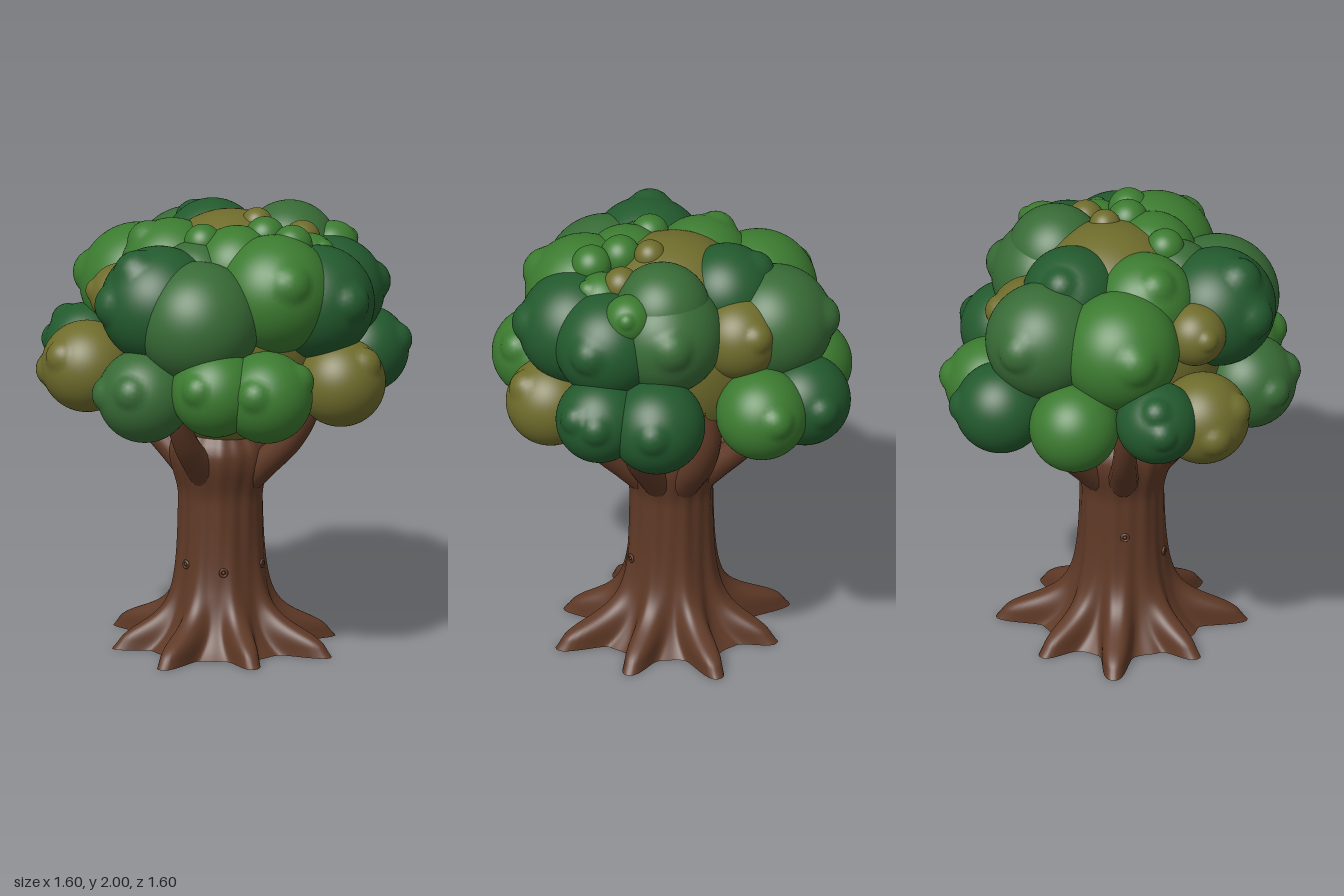
import * as THREE from 'three';
import { mergeVertices } from 'three/addons/utils/BufferGeometryUtils.js';

const mat = (color, side = THREE.FrontSide) => new THREE.MeshStandardMaterial({ color, side });
const BARK = mat(0x5f3926, THREE.DoubleSide), KNOT = mat(0x4a2c1e);
const LEAF = { dark: mat(0x235a2e), bright: mat(0x3c7b30), mid: mat(0x386b36), olive: mat(0x6f6c2c) };
const rad = THREE.MathUtils.degToRad;

// Weld the seams and give smooth normals
function smooth(geo) {
  geo.deleteAttribute('uv');
  geo.deleteAttribute('normal');
  const g = mergeVertices(geo, 1e-4);
  g.computeVertexNormals();
  return g;
}

// Point at azimuth a (0 = front, 90 = left side), distance r and height y
const polar = (a, r, y) => new THREE.Vector3(Math.sin(a) * r, y, Math.cos(a) * r);

// Trunk and roots as one surface: a flared column with eight blunt lobes at the ground, open below
function trunkGeometry() {
  const roots = [[2, 0.2], [48, 0.15], [91, 0.21], [134, 0.17], [178, 0.21], [225, 0.15], [267, 0.21], [314, 0.14]];
  const column = [];
  for (let i = 0; i <= 64; i++) column.push(new THREE.Vector2(1, 1.03 * (i / 64) ** 1.7));
  const geo = new THREE.LatheGeometry(column, 288);
  const pos = geo.attributes.position;
  const step = THREE.MathUtils.smoothstep;
  for (let i = 0; i < pos.count; i++) {
    const x = pos.getX(i), y = pos.getY(i), z = pos.getZ(i), a = Math.atan2(x, z);
    let r = 0.183 + 0.165 * Math.exp(-y / 0.15) + 0.04 * step(y, 0.68, 0.88) - 0.06 * step(y, 0.9, 1.03);
    r *= 1 + 0.015 * Math.cos(8 * a + 2 * y) + 0.01 * Math.cos(17 * a - 3 * y);
    const width = 0.135 + 0.5 * Math.min(y, 0.25);
    // Rounded tip: full reach a little above the ground, then falling away
    const height = Math.max(0, y - 0.03);
    for (const [deg, reach] of roots) {
      const d = Math.atan2(Math.sin(a - rad(deg)), Math.cos(a - rad(deg)));
      r += reach / (1 + (height / 0.1) ** 3) * Math.exp(-(Math.abs(d / width) ** 2.8)) * (1 + 0.9 * Math.min(y, 0.05));
    }
    pos.setXYZ(i, x * r, y, z * r);
  }
  return smooth(geo);
}

// Tube whose radius follows radiusAt(t)
function taperedTube(points, radiusAt, segs = 24, sides = 14) {
  const curve = new THREE.CatmullRomCurve3(points);
  const geo = new THREE.TubeGeometry(curve, segs, 1, sides);
  const pos = geo.attributes.position, v = new THREE.Vector3();
  for (let i = 0; i <= segs; i++) {
    const c = curve.getPointAt(i / segs), r = radiusAt(i / segs);
    for (let j = 0; j <= sides; j++) {
      const k = i * (sides + 1) + j;
      v.fromBufferAttribute(pos, k).sub(c).multiplyScalar(r).add(c);
      pos.setXYZ(k, v.x, v.y, v.z);
    }
  }
  return smooth(geo);
}

// Round leaf clump; each bump [azimuth, elevation] is a smaller ball breaking the surface
function puff(r, bumps) {
  const off = 0.72, size = 0.41;
  const dirs = bumps.map(([az, el]) => polar(rad(az), Math.cos(rad(el)), Math.sin(rad(el))));
  const geo = smooth(new THREE.IcosahedronGeometry(1, 11));
  const pos = geo.attributes.position, v = new THREE.Vector3();
  for (let i = 0; i < pos.count; i++) {
    v.fromBufferAttribute(pos, i).normalize();
    let s = 1;
    for (const d of dirs) {
      const along = off * v.dot(d), inside = size ** 2 - off ** 2 + along ** 2;
      if (along > 0 && inside > 0) s = Math.max(s, along + Math.sqrt(inside));
    }
    v.multiplyScalar(r * s);
    pos.setXYZ(i, v.x, v.y, v.z);
  }
  geo.computeVertexNormals();
  return geo;
}

export function createModel() {
  const tree = new THREE.Group();
  tree.name = 'tree';
  const add = (parent, name, geo, material) => {
    const m = new THREE.Mesh(geo, material);
    m.name = name;
    parent.add(m);
    return m;
  };
  const group = (name) => {
    const g = new THREE.Group();
    g.name = name;
    tree.add(g);
    return g;
  };

  add(tree, 'trunkAndRoots', trunkGeometry(), BARK);

  // Branches rising into the crown; the front one is steeper
  const branches = group('branches');
  for (const [deg, reach] of [[0, 0.85], [90, 1], [132, 0.97], [178, 1], [225, 0.97], [273, 1]]) {
    const a = rad(deg);
    const path = [[0.1, 0.74], [0.22, 0.85], [0.36, 0.98], [0.45, 1.12], [0.5, 1.3]]
      .map(([r, y]) => polar(a, r * reach, y));
    add(branches, 'branch', taperedTube(path, (t) => 0.074 - 0.034 * t), BARK);
  }

  // Knots on the bark: a ring around a small bud
  const knots = group('knots');
  for (const [deg, y, r] of [[-20, 0.39, 0.2], [34, 0.37, 0.205], [95, 0.385, 0.205], [275, 0.52, 0.19]]) {
    const knot = new THREE.Group();
    knot.name = 'knot';
    knot.position.copy(polar(rad(deg), r, y));
    knot.rotation.y = rad(deg);
    add(knot, 'knotRing', new THREE.TorusGeometry(0.015, 0.006, 8, 18), BARK);
    add(knot, 'knotBud', new THREE.SphereGeometry(0.009, 10, 8), KNOT);
    knots.add(knot);
  }

  // Crown: cores, lower ring, upper ring and top; [x, y, z, radius, colour, ...bumps]
  const clumps = {
    crownCore: [
      [0.02, 1.42, -0.01, 0.48, 'olive'],
      [0.02, 1.6, -0.06, 0.37, 'olive'],
    ],
    lowerClump: [
      [-0.06, 1.255, 0.565, 0.21, 'mid', [8, 17], [-50, 5]],
      [0.27, 1.3, 0.505, 0.2, 'bright', [0, 15]],
      [0.47, 1.28, 0.4, 0.205, 'bright', [12, 15], [115, 30]],
      [0.6, 1.27, -0.03, 0.2, 'olive', [90, 38]],
      [0.52, 1.33, -0.38, 0.195, 'dark', [110, 20], [150, 10]],
      [0.3, 1.31, -0.51, 0.215, 'dark', [150, 10]],
      [-0.18, 1.3, -0.58, 0.205, 'bright', [180, 12]],
      [-0.41, 1.3, -0.53, 0.205, 'dark', [185, 5]],
      [-0.57, 1.29, -0.2, 0.2, 'bright'],
      [-0.59, 1.33, 0.17, 0.185, 'dark', [270, 45], [280, 5]],
      [-0.47, 1.29, 0.37, 0.205, 'olive', [-18, 25], [-70, -8]],
    ],
    upperClump: [
      [-0.07, 1.635, 0.42, 0.265, 'dark', [-40, 5], [-30, 55]],
      [0.13, 1.58, 0.42, 0.275, 'mid'],
      [-0.32, 1.63, 0.33, 0.14, 'olive', [-60, 10]],
      [0.36, 1.68, 0.14, 0.265, 'bright', [50, 25]],
      [0.48, 1.62, -0.03, 0.255, 'dark', [75, 10]],
      [0.42, 1.62, -0.25, 0.24, 'dark', [130, 10]],
      [0.18, 1.65, -0.32, 0.265, 'mid', [165, 10]],
      [-0.15, 1.61, -0.4, 0.19, 'olive', [190, 20]],
      [-0.35, 1.61, -0.34, 0.26, 'mid', [240, 10]],
      [-0.42, 1.6, 0, 0.265, 'bright', [290, 10]],
    ],
    topClump: [
      [0.18, 1.765, -0.3, 0.215, 'mid'],
      [0.37, 1.79, -0.36, 0.11, 'bright', [150, 20]],
      [0.39, 1.78, -0.12, 0.12, 'bright', [90, 40]],
      [-0.17, 1.74, -0.22, 0.22, 'dark', [250, 40]],
      [-0.19, 1.71, 0.1, 0.23, 'bright', [300, 50]],
      [0.02, 1.72, 0.24, 0.18, 'mid'],
      [0.16, 1.76, 0.13, 0.2, 'bright'],
      [0.24, 1.9, 0.02, 0.09, 'bright'],
      [0.38, 1.88, 0.02, 0.09, 'bright'],
      [0.02, 1.88, 0.19, 0.085, 'bright'],
      [0.14, 1.925, -0.08, 0.07, 'olive'],
      [0.32, 1.86, -0.17, 0.08, 'olive'],
    ],
  };
  const crown = group('crown');
  for (const [name, list] of Object.entries(clumps)) {
    for (const [x, y, z, r, colour, ...bumps] of list) {
      add(crown, name, puff(r, bumps), LEAF[colour]).position.set(x, y, z);
    }
  }
  return tree;
}
